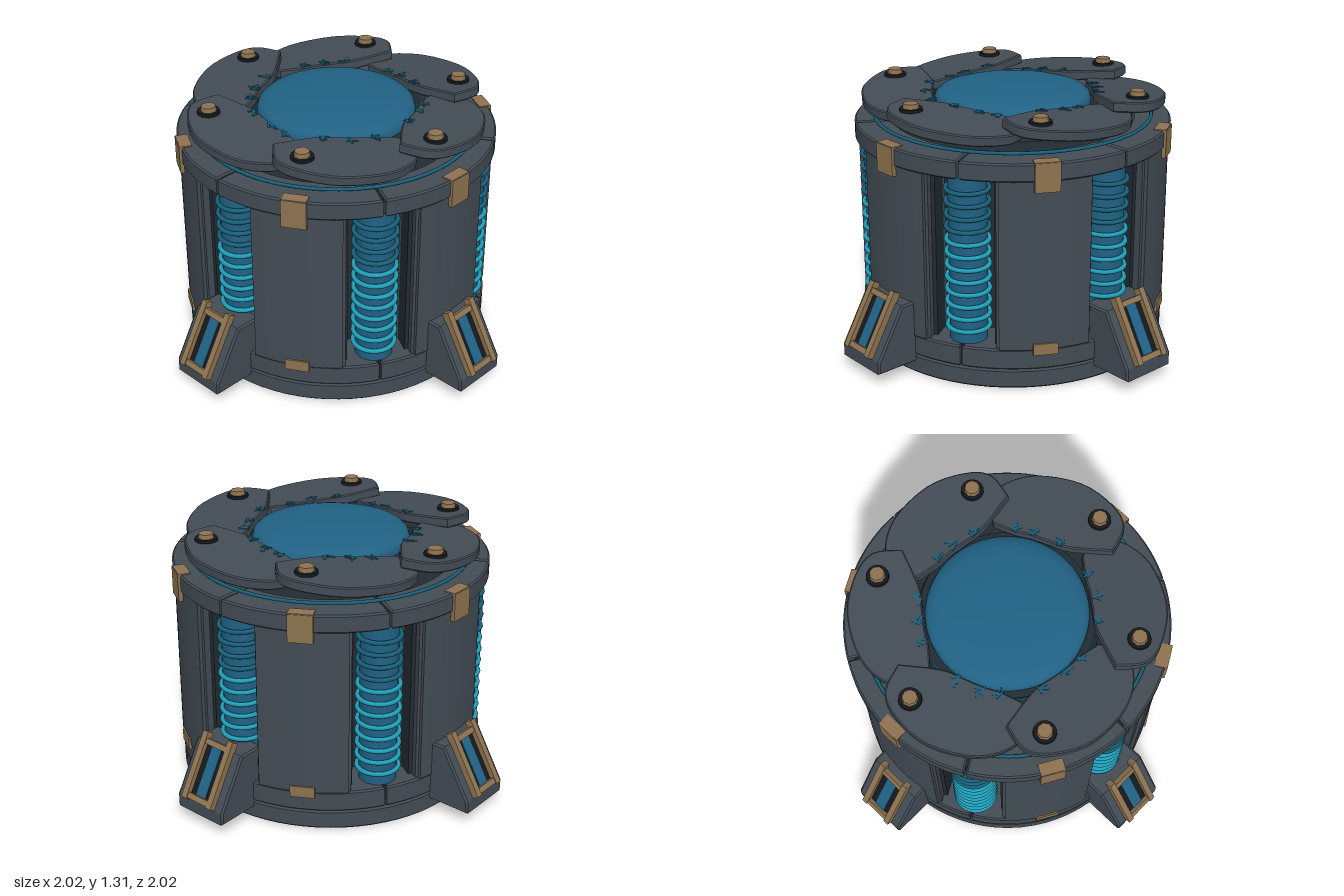
import * as THREE from 'three';
import { toCreasedNormals } from 'three/addons/utils/BufferGeometryUtils.js';

const mat = (name, hex) => {
  const m = new THREE.MeshStandardMaterial({ color: hex });
  m.name = name;
  return m;
};
const slate = mat('slate armour', 0x434c55);
const dark = mat('dark recess', 0x222b33);
const black = mat('black washer', 0x14181c);
const tan = mat('tan brass', 0x8e7350);
const blue = mat('deep blue glow', 0x216285);
const deepTeal = mat('dim teal', 0x17607a);
const teal = mat('bright teal', 0x1f9fba);

const rad = THREE.MathUtils.degToRad;

function add(parent, name, geo, material, x = 0, y = 0, z = 0) {
  const m = new THREE.Mesh(geo, material);
  m.name = name;
  m.position.set(x, y, z);
  parent.add(m);
  return m;
}
const box = (p, name, w, h, d, m, x, y, z) => add(p, name, new THREE.BoxGeometry(w, h, d), m, x, y, z);

// Repeats a part around the vertical axis; each copy is built facing +z
function around(parent, name, n, startDeg, build) {
  for (let i = 0; i < n; i++) {
    const g = new THREE.Group();
    g.name = name;
    g.rotation.y = rad(startDeg + (360 / n) * i);
    build(g, i);
    parent.add(g);
  }
}

// Point at radius r and angle deg from +z, in plan coordinates
const polar = (r, deg) => new THREE.Vector2(r * Math.sin(rad(deg)), -r * Math.cos(rad(deg)));

// Upright slab from a plan outline, with softened edges
function slab(points, h, bevel) {
  const g = new THREE.ExtrudeGeometry(new THREE.Shape(points), {
    depth: h - 2 * bevel, bevelThickness: bevel, bevelSize: bevel, bevelOffset: -bevel, bevelSegments: 1,
  });
  g.translate(0, 0, bevel);
  g.rotateX(-Math.PI / 2);
  return toCreasedNormals(g, 0.5);
}

// Curved wall piece centred on +z
function arcWall(rIn, rOut, half, h, bevel = 0.008) {
  const pts = [];
  const n = 16;
  for (let i = 0; i <= n; i++) pts.push(polar(rOut, -half + (2 * half * i) / n));
  for (let i = n; i >= 0; i--) pts.push(polar(rIn, -half + (2 * half * i) / n));
  return slab(pts, h, bevel);
}

const lathe = (pts) =>
  toCreasedNormals(new THREE.LatheGeometry(pts.map(([x, y]) => new THREE.Vector2(x, y)), 72), 0.6);

export function createModel() {
  const root = new THREE.Group();
  root.name = 'reactorCore';

  // Drum: base, inner core and top deck
  add(root, 'base', lathe([[0, 0], [0.765, 0], [0.775, 0.01], [0.775, 0.09], [0.765, 0.102], [0, 0.102]]), slate);
  add(root, 'innerCore', new THREE.CylinderGeometry(0.55, 0.55, 1.03, 48), dark, 0, 0.61);
  add(root, 'ringBacking', new THREE.CylinderGeometry(0.755, 0.755, 0.11, 64), dark, 0, 0.15);
  add(root, 'deck', new THREE.CylinderGeometry(0.755, 0.755, 0.075, 64), dark, 0, 1.09);

  const lowerRing = arcWall(0.5, 0.776, 29.6, 0.107);
  const upperRing = arcWall(0.6, 0.788, 29.6, 0.09);
  const panel = arcWall(0.6, 0.78, 16.3, 0.86, 0.006);
  around(root, 'shellSegment', 6, 30, (g) => {
    add(g, 'lowerRing', lowerRing, slate, 0, 0.1);
    add(g, 'upperRing', upperRing, slate, 0, 1.047);
    add(g, 'wallPanel', panel, slate, 0, 0.2);
    // Brass clips over the rings
    box(g, 'upperClip', 0.12, 0.14, 0.04, tan, 0, 1.07, 0.778);
    box(g, 'upperClipLip', 0.12, 0.012, 0.06, tan, 0, 1.137, 0.765);
    box(g, 'lowerClip', 0.12, 0.058, 0.035, tan, 0, 0.208, 0.77);
  });

  // Coil windows
  const column = new THREE.CylinderGeometry(0.092, 0.092, 0.84, 28);
  const coil = new THREE.TorusGeometry(0.102, 0.0115, 8, 32).rotateX(Math.PI / 2);
  around(root, 'coilWindow', 6, 0, (g) => {
    for (const s of [-1, 1]) {
      box(g, 'windowPost', 0.03, 0.85, 0.14, slate, s * 0.181, 0.625, 0.67);
      box(g, 'windowInnerPost', 0.022, 0.85, 0.1, dark, s * 0.157, 0.625, 0.65);
    }
    add(g, 'column', column, blue, 0, 0.63, 0.66);
    for (let i = 0; i < 12; i++) add(g, 'coilRing', coil, i < 8 ? teal : deepTeal, 0, 0.275 + i * 0.0632, 0.66);
  });

  // Wedge feet with a brass ladder frame over a glowing slit
  const wedge = new THREE.ExtrudeGeometry(
    new THREE.Shape([[0.7, 0.062], [0.98, 0.062], [0.98, 0.125], [0.832, 0.38], [0.7, 0.38]]
      .map(([x, y]) => new THREE.Vector2(x, y))),
    { depth: 0.28, bevelThickness: 0.01, bevelSize: 0.008, bevelOffset: -0.008, bevelSegments: 1 });
  wedge.translate(0, 0, -0.14);
  wedge.rotateY(-Math.PI / 2);
  around(root, 'foot', 4, 0, (g) => {
    add(g, 'footWedge', wedge, slate);
    const f = new THREE.Group();
    f.name = 'footFrame';
    f.position.set(0, 0.265, 0.901);
    f.rotation.x = -Math.PI / 6;
    g.add(f);
    box(f, 'slitBack', 0.14, 0.27, 0.008, black, 0, 0, 0.002);
    box(f, 'slitGlow', 0.06, 0.27, 0.008, blue, 0, 0, 0.006);
    for (const s of [-1, 1]) {
      box(f, 'frameRail', 0.032, 0.34, 0.04, tan, s * 0.081, 0.012, 0.012);
      box(f, 'frameBar', 0.19, 0.028, 0.03, tan, 0, s * 0.138, 0.012);
    }
  });

  // Central dome, collar and thin glowing hoop
  add(root, 'collar', lathe([[0, 1.12], [0.45, 1.12], [0.43, 1.15], [0.42, 1.17], [0.425, 1.2], [0.39, 1.205]]), dark);
  add(root, 'collarBand', new THREE.CylinderGeometry(0.428, 0.428, 0.016, 64), deepTeal, 0, 1.172);
  const hoop = new THREE.TorusGeometry(0.69, 0.009, 8, 96).rotateX(Math.PI / 2);
  add(root, 'hoop', hoop, deepTeal, 0, 1.155);
  add(root, 'dome', lathe([[0.39, 1.15], [0.39, 1.225], [0.383, 1.245], [0.365, 1.26], [0.32, 1.272],
    [0.22, 1.281], [0.1, 1.286], [0, 1.287]]), blue);

  // Iris blades: bolted at a raised head, sloping down beneath the next blade
  const outer = new THREE.SplineCurve([[0.58, 16], [0.7, 9], [0.742, -1], [0.757, -16], [0.73, -34], [0.66, -48], [0.54, -55]]
    .map(([r, a]) => polar(r, -a))).getPoints(24);
  const inner = new THREE.SplineCurve([[0.46, -53], [0.41, -40], [0.4, -28], [0.4, -15], [0.43, 0], [0.58, 16]]
    .map(([r, a]) => polar(r, -a))).getPoints(16).slice(0, -1);
  const blade = slab([...outer, ...inner], 0.05, 0.006);
  blade.translate(0, -0.05, -0.63);
  const washer = new THREE.CylinderGeometry(0.054, 0.056, 0.014, 24);
  const bolt = new THREE.CylinderGeometry(0.036, 0.042, 0.032, 8);
  const shard = new THREE.BoxGeometry(0.045, 0.006, 0.008);
  let seed = 7;
  const rnd = () => (seed = (seed * 16807) % 2147483647) / 2147483647;
  around(root, 'irisBlade', 6, 30, (g) => {
    const t = new THREE.Group();
    t.name = 'tiltedBlade';
    t.position.set(0, 1.275, 0.63);
    t.rotation.z = rad(-5);
    g.add(t);
    add(t, 'blade', blade, slate);
    // Small glowing splinters along the inner edge
    for (const a of [5, 22, 36]) {
      const p = polar(0.425, a + rnd() * 6);
      for (let k = 0; k < 4; k++) {
        const m = add(t, 'splinter', shard, deepTeal,
          p.x + (rnd() - 0.5) * 0.03, 0.001, -p.y - 0.63 + (rnd() - 0.5) * 0.03);
        m.rotation.y = rnd() * Math.PI;
      }
    }
    add(g, 'washer', washer, black, 0, 1.283, 0.635);
    add(g, 'bolt', bolt, tan, 0, 1.296, 0.635);
  });

  return root;
}
